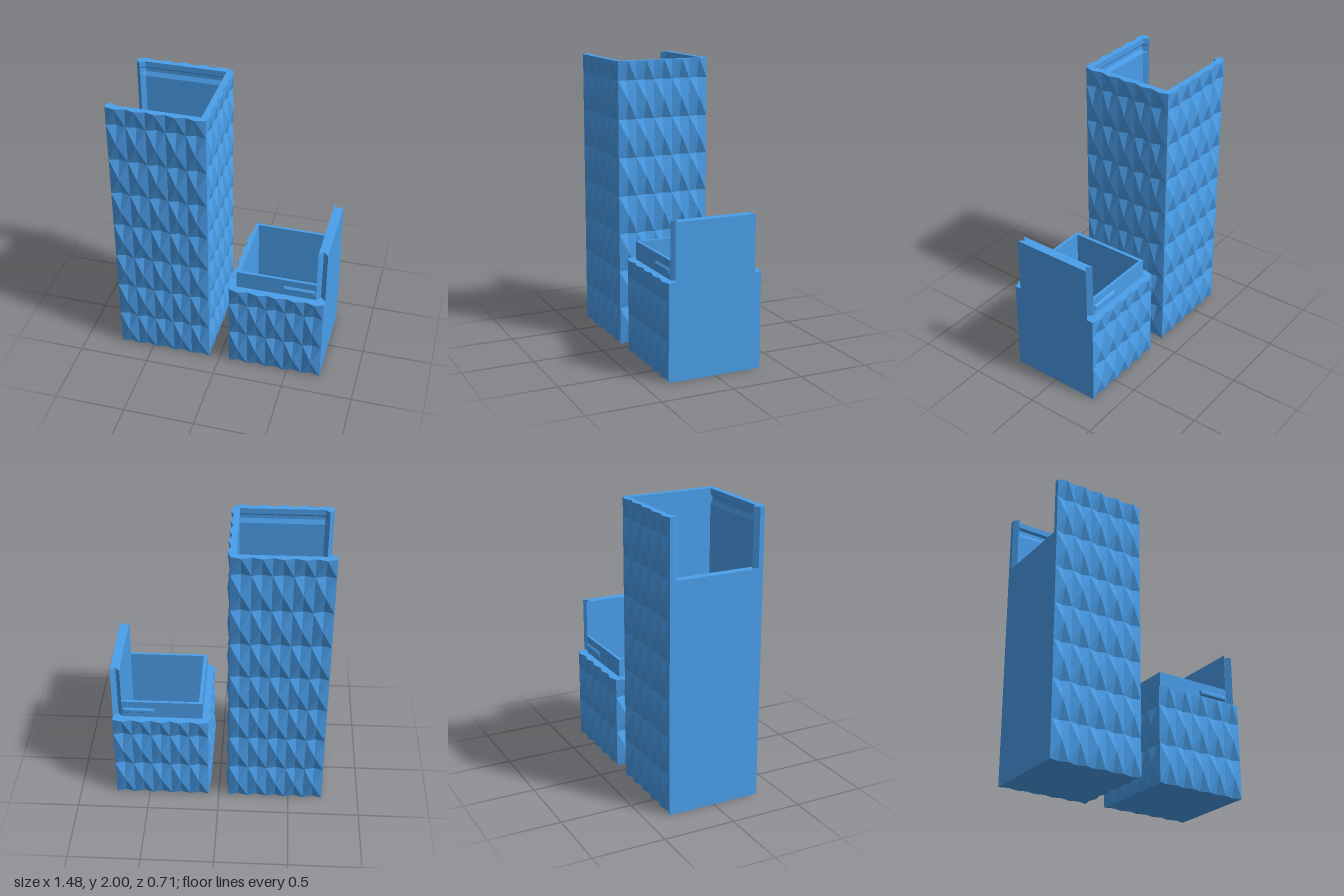
import * as THREE from 'three';

const material = new THREE.MeshStandardMaterial({ color: 0x4a9eea, flatShading: true, side: THREE.DoubleSide });
const STEP = 0.2 / 3;      // half a facet wide
const ROW = 0.4 / 3;       // half a facet high
const BULGE = 0.02;
const BACK = -0.74;        // plane of the flat side
const HALF = 5 * STEP;     // half depth of the body
const FLOOR = 0.04;

function mesh(name, geometry) {
  const m = new THREE.Mesh(geometry, material);
  m.name = name;
  return m;
}

// Skin through a stack of rings of [x, y, z], with alternating diagonals
function loft(rings) {
  const out = [];
  for (let r = 0; r + 1 < rings.length; r++) {
    for (let j = 0; j + 1 < rings[r].length; j++) {
      const a = rings[r][j], b = rings[r][j + 1], c = rings[r + 1][j + 1], d = rings[r + 1][j];
      const tris = (r + j) % 2 === 0 ? [a, b, c, a, c, d] : [a, b, d, b, c, d];
      for (const p of tris) out.push(...p);
    }
  }
  const g = new THREE.BufferGeometry();
  g.setAttribute('position', new THREE.Float32BufferAttribute(out, 3));
  g.computeVertexNormals();
  return g;
}

const ring = (path, y) => path.map(([x, z]) => [x, y, z]);
const ribbon = (path, y0, y1) => loft([ring(path, y0), ring(path, y1)]);

function planShape(path, hole) {
  const toPoints = (p) => p.map(([x, z]) => new THREE.Vector2(x, -z));
  const s = new THREE.Shape(toPoints(path));
  if (hole) s.holes.push(new THREE.Path(toPoints(hole)));
  return s;
}
const plate = (path, y, hole) =>
  new THREE.ShapeGeometry(planShape(path, hole)).rotateX(-Math.PI / 2).translate(0, y, 0);
const prism = (path, y0, y1) =>
  new THREE.ExtrudeGeometry(planShape(path), { depth: y1 - y0, bevelEnabled: false })
    .rotateX(-Math.PI / 2).translate(0, y0, 0);
const rect = (x0, x1, z) => [[x0, -z], [x1, -z], [x1, z], [x0, z]];
const close = (path) => [...path, path[0]];

// Plan outline of the three faceted sides at a given half row
function outline(row) {
  const path = [];
  const right = BACK + 10 * STEP;
  for (let j = 0; j <= 30; j++) {
    const side = Math.min(2, Math.floor(j / 10)), t = (j - side * 10) * STEP;
    const d = j % 2 === 0 ? 0 : (row % 2 ? BULGE : -BULGE);
    if (side === 0) path.push([BACK + t, HALF + d]);
    else if (side === 1) path.push([right + d, HALF - t]);
    else path.push([right - t, -HALF - d]);
  }
  return path;
}

// Faceted sides, underside, flat side and cavity shared by both halves
function body(rows, flatTop, cavity, cavityTop) {
  const g = new THREE.Group();
  const rings = [];
  for (let r = 0; r <= rows; r++) rings.push(ring(outline(r), r * ROW));
  g.add(mesh('facetedSides', loft(rings)));
  g.add(mesh('underside', plate(outline(0), 0).scale(1, -1, 1)));
  g.add(mesh('flatSide', ribbon([[BACK, -HALF], [BACK, HALF]], 0, flatTop)));
  g.add(mesh('cavityWalls', ribbon(close(cavity), FLOOR, cavityTop)));
  g.add(mesh('cavityFloor', plate(cavity, FLOOR)));
  return g;
}

// Tall half: notched flat side with keyed posts and snap grooves
function tallHalf() {
  const top = 15 * ROW, sill = 1.6;
  const g = body(15, sill, rect(-0.68, -0.11, 0.3), sill);
  const inner = (z) => [
    [BACK, -HALF], [BACK, -0.3], [-0.71, -0.27], [-0.68, -z], [-0.11, -z],
    [-0.11, z], [-0.68, z], [-0.71, 0.27], [BACK, 0.3], [BACK, HALF],
  ];
  const profile = [[sill, 0.3], [1.89, 0.3], [1.92, 0.315], [1.945, 0.315], [1.96, 0.3], [top, 0.3]];
  g.add(mesh('groovedOpening', loft(profile.map(([y, z]) => ring(inner(z), y)))));
  g.add(mesh('notchSill', plate(rect(BACK, -0.68, 0.3), sill)));
  g.add(mesh('rim', plate([...outline(15), ...inner(0.3).slice(1, -1)], top)));
  g.name = 'tallHalf';
  return g;
}

// Short half: inserted lip, upright panel and snap ridges
function shortHalf() {
  const top = 5 * ROW, cavity = rect(-0.675, -0.14, 0.27);
  const g = body(5, top, cavity, top);
  g.add(mesh('rim', plate(outline(5), top, cavity)));
  g.add(mesh('lip', prism([
    [-0.675, -0.29], [-0.115, -0.29], [-0.115, 0.29], [-0.675, 0.29],
    [-0.675, 0.27], [-0.14, 0.27], [-0.14, -0.27], [-0.675, -0.27],
  ], top, 0.795)));
  g.add(mesh('uprightPanel', prism([
    [BACK, -0.288], [-0.705, -0.255], [-0.675, -0.29],
    [-0.675, 0.29], [-0.705, 0.255], [BACK, 0.288],
  ], top, 1.06)));
  for (const s of [1, -1]) {
    const ridge = new THREE.BoxGeometry(0.22, 0.045, 0.014);
    const p = ridge.attributes.position;
    for (let i = 0; i < p.count; i++) {
      if (p.getZ(i) * s > 0) p.setXY(i, p.getX(i) * 0.92, p.getY(i) * 0.4);
    }
    ridge.computeVertexNormals();
    const m = mesh('snapRidge', ridge);
    m.position.set(-0.557, 0.722, s * 0.296);
    g.add(m);
  }
  g.rotation.y = Math.PI;
  g.name = 'shortHalf';
  return g;
}

export function createModel() {
  const model = new THREE.Group();
  model.name = 'facetedCase';
  model.add(tallHalf(), shortHalf());
  return model;
}
